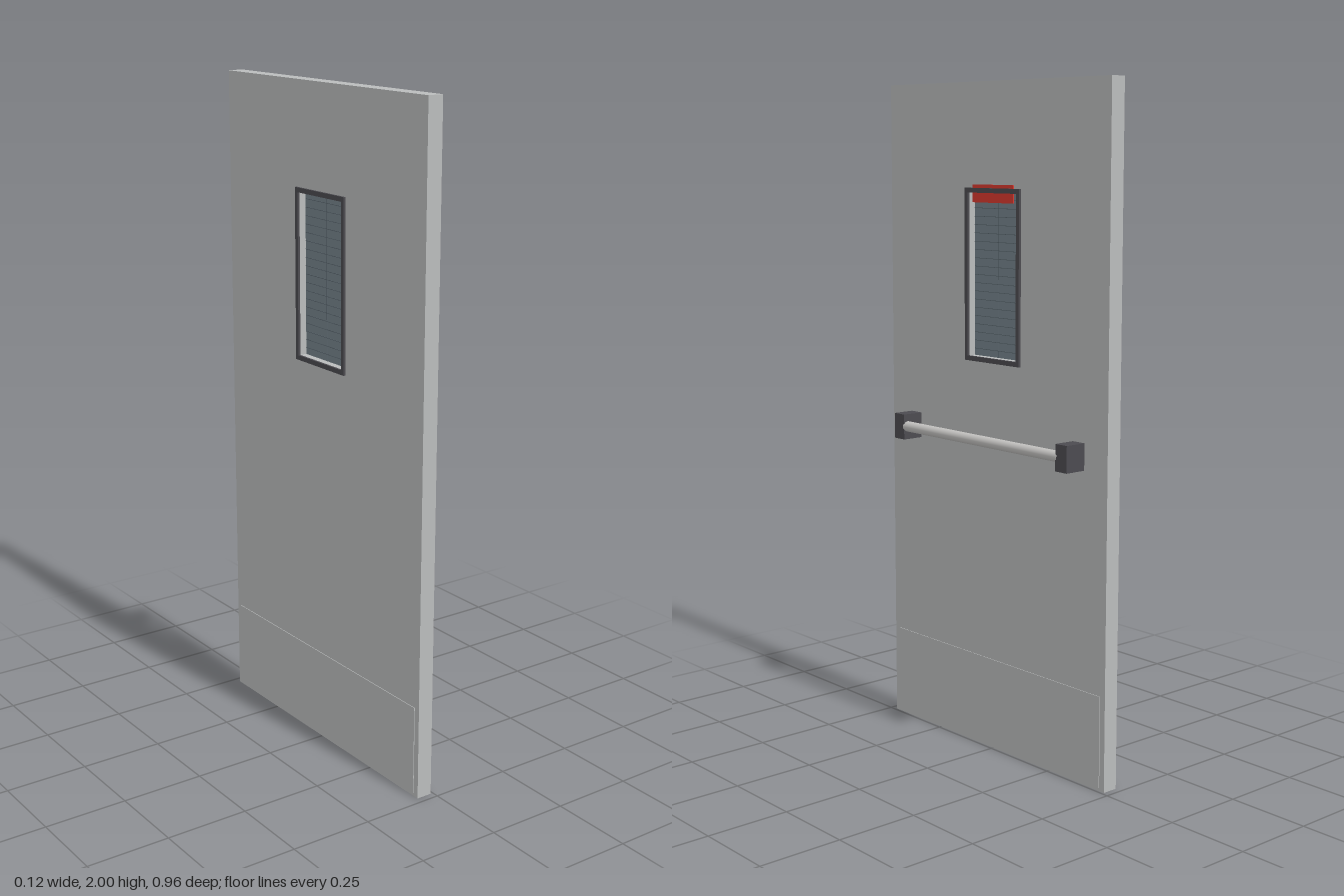
import * as THREE from 'three';

const mat = (name, color) => {
  const m = new THREE.MeshStandardMaterial({ color });
  m.name = name;
  return m;
};

export function createModel() {
  const steel = mat('door grey', 0xbabcbc);
  const dark = mat('dark trim', 0x4c4b50);
  const glass = mat('wired glass', 0x75838b);
  const wireMat = mat('glass wire', 0x56626a);
  const red = mat('sign red', 0xd8382e);
  const metal = mat('bar metal', 0xc2c1bf);

  const door = new THREE.Group();
  door.name = 'door';

  const add = (name, geometry, material) => {
    const mesh = new THREE.Mesh(geometry, material);
    mesh.name = name;
    door.add(mesh);
    return mesh;
  };
  // Box given by its extents on each axis
  const box = (name, material, [x0, x1], [y0, y1], [z0, z1]) => {
    add(name, new THREE.BoxGeometry(x1 - x0, y1 - y0, z1 - z0), material)
      .position.set((x0 + x1) / 2, (y0 + y1) / 2, (z0 + z1) / 2);
  };
  // Rectangular slab with a rectangular hole, extruded along x
  const framed = (name, material, x0, x1, outer, inner) => {
    const rect = (p, [w, y0, y1]) => p.moveTo(-w, y0).lineTo(w, y0).lineTo(w, y1).lineTo(-w, y1).closePath();
    const shape = rect(new THREE.Shape(), outer);
    shape.holes.push(rect(new THREE.Path(), inner));
    const g = new THREE.ExtrudeGeometry(shape, { depth: x1 - x0, bevelEnabled: false });
    g.rotateY(Math.PI / 2).translate(x0, 0, 0);
    add(name, g, material);
  };

  const back = -0.056, front = -0.008, mid = -0.032;
  const opening = [0.107, 1.199, 1.681];

  // Door leaf with window opening
  framed('doorLeaf', steel, back, front, [0.479, 0, 2], opening);

  // Kick plates on both faces
  box('kickPlateFront', steel, [front, front + 0.002], [0.01, 0.28], [-0.46, 0.46]);
  box('kickPlateBack', steel, [back - 0.002, back], [0.01, 0.28], [-0.46, 0.46]);

  // Window trim on both faces
  framed('windowFrameFront', dark, front, 0, [0.12, 1.185, 1.695], opening);
  framed('windowFrameBack', dark, -0.063, back, [0.12, 1.185, 1.695], opening);

  // Glass pane with its wire grid
  box('glassPane', glass, [mid - 0.003, mid + 0.003], [1.199, 1.681], [-0.107, 0.107]);
  const wx = [mid - 0.0036, mid + 0.0036], t = 0.0008;
  for (let i = -9; i <= 9; i++) {
    const y = 1.44 + i * 0.0245;
    box('horizontalWire', wireMat, wx, [y - t, y + t], [-0.107, 0.107]);
  }
  box('verticalWire', wireMat, wx, [1.199, 1.681], [-0.001, 0.001]);

  // Red sign plate running behind the top trim
  box('signPlate', red, [front, front + 0.003], [1.653, 1.705], [-0.09, 0.09]);

  // Push bar and its end brackets
  const bar = add('pushBar', new THREE.CylinderGeometry(0.016, 0.016, 0.69, 24), metal);
  bar.rotation.x = Math.PI / 2;
  bar.position.set(0.046, 0.96, 0);
  for (const s of [-1, 1]) {
    const z = s * 0.364;
    box('barBracket', dark, [front, 0.06], [0.92, 0.998], [z - 0.023, z + 0.023]);
  }

  return door;
}
